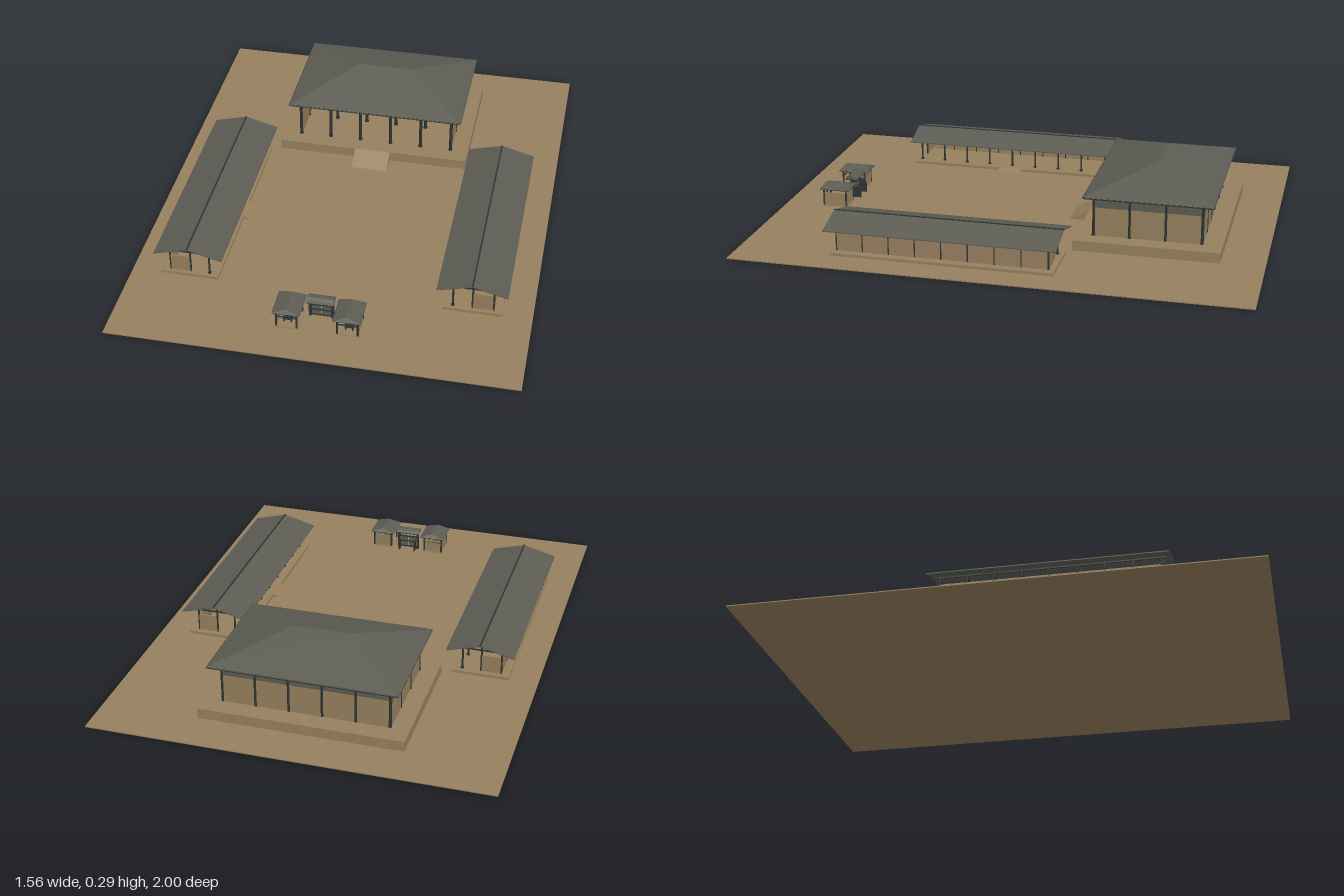
import * as THREE from 'three';

const earth = new THREE.MeshStandardMaterial({ color: 0x967f5e, name: 'earth' });
const tile = new THREE.MeshStandardMaterial({ color: 0x5c5c53, name: 'roofTile' });
const timber = new THREE.MeshStandardMaterial({ color: 0x2c3533, name: 'darkTimber' });

function add(parent, name, geometry, material) {
  const mesh = new THREE.Mesh(geometry, material);
  mesh.name = name;
  parent.add(mesh);
  return mesh;
}

// Box given by its limits on each axis
function box(parent, name, mat, x0, x1, y0, y1, z0, z1) {
  const mesh = add(parent, name, new THREE.BoxGeometry(x1 - x0, y1 - y0, z1 - z0), mat);
  mesh.position.set((x0 + x1) / 2, (y0 + y1) / 2, (z0 + z1) / 2);
  return mesh;
}

function post(parent, name, x, z, y0, y1, r) {
  const mesh = add(parent, name, new THREE.CylinderGeometry(r, r, y1 - y0, 8), timber);
  mesh.position.set(x, (y0 + y1) / 2, z);
  return mesh;
}

// Closed hip roof: eave rectangle hx by hz, ridge rectangle rx by rz
function hipRoof(parent, name, x, z, y0, y1, hx, hz, rx, rz) {
  const g = new THREE.BoxGeometry(2, y1 - y0, 2).toNonIndexed();
  const p = g.attributes.position;
  for (let i = 0; i < p.count; i++) {
    const top = p.getY(i) > 0;
    p.setX(i, p.getX(i) * (top ? rx : hx));
    p.setZ(i, p.getZ(i) * (top ? rz : hz));
  }
  g.computeVertexNormals();
  const mesh = add(parent, name, g, tile);
  mesh.position.set(x, (y0 + y1) / 2, z);
  return mesh;
}

// Prism of an outline in the (z, y) plane, running along x
function prismX(parent, name, mat, points, x0, x1) {
  const shape = new THREE.Shape(points.map(([z, y]) => new THREE.Vector2(-z, y)));
  const g = new THREE.ExtrudeGeometry(shape, { depth: x1 - x0, bevelEnabled: false });
  g.rotateY(Math.PI / 2);
  g.translate(x0, 0, 0);
  return add(parent, name, g, mat);
}

// Prism of an outline in the (x, y) plane, running along z
function prismZ(parent, name, mat, points, z0, z1) {
  const shape = new THREE.Shape(points.map(([x, y]) => new THREE.Vector2(x, y)));
  const g = new THREE.ExtrudeGeometry(shape, { depth: z1 - z0, bevelEnabled: false });
  g.translate(0, 0, z0);
  return add(parent, name, g, mat);
}

function buildMainHall() {
  const hall = new THREE.Group();
  hall.name = 'mainHall';
  box(hall, 'platform', earth, -0.4, 0.4, 0.003, 0.045, -0.83, -0.26);
  prismX(hall, 'entranceRamp', earth, [[-0.26, 0.003], [-0.18, 0.003], [-0.26, 0.045]], -0.075, 0.075);

  const floor = 0.045, sill = 0.16, eave = 0.207, t = 0.004;
  const back = -0.75, front = -0.33, hx = 0.325;
  // Walls on three sides, open toward the court, with a tile-grey band above
  for (const [name, mat, y0, y1] of [['wall', earth, floor, sill], ['upperBand', tile, sill, eave]]) {
    box(hall, 'back' + name, mat, -hx, hx, y0, y1, back - t, back + t);
    for (const s of [-1, 1]) box(hall, 'side' + name, mat, s * hx - t, s * hx + t, y0, y1, back, front);
  }
  box(hall, 'frontBeam', tile, -hx, hx, 0.188, eave, front - t, front + t);

  // Column grid: full rows at front, porch line and back
  for (let i = 0; i < 6; i++) {
    const x = -hx + i * 0.13;
    for (const z of [front, -0.47, back]) {
      post(hall, 'column', x, z, floor, eave, 0.0065);
      if (z !== back) post(hall, 'columnBase', x, z, floor, floor + 0.006, 0.009);
    }
  }
  for (const s of [-1, 1]) post(hall, 'sideColumn', s * hx, -0.61, floor, eave, 0.0065);

  // Hip roof with a thin eave board
  box(hall, 'eaveBoard', timber, -0.368, 0.368, 0.205, 0.211, -0.796, -0.292);
  hipRoof(hall, 'hipRoof', 0, -0.544, 0.21, 0.29, 0.37, 0.254, 0.115, 0.004);
  return hall;
}

// Long open hall on the left side; the right one is turned about the court
function buildSideHall(side) {
  const hall = new THREE.Group();
  hall.name = side > 0 ? 'leftSideHall' : 'rightSideHall';
  const X = (a, b) => (side > 0 ? [a, b] : [-b, -a]);
  const bx = (name, mat, a, b, ...rest) => box(hall, name, mat, ...X(a, b), ...rest);
  bx('platform', earth, 0.437, 0.665, 0.003, 0.015, -0.245, 0.63);
  prismZ(hall, 'sideRamp', earth,
    [[side * 0.412, 0.003], [side * 0.437, 0.003], [side * 0.437, 0.015]], 0.145, 0.245);

  // Outer wall and half-width end walls
  bx('outerWall', earth, 0.627, 0.633, 0.015, 0.085, -0.22, 0.61);
  for (const z of [-0.22, 0.61]) bx('endWall', earth, 0.55, 0.63, 0.015, 0.085, z - 0.003, z + 0.003);

  // Nine timber frames
  for (let i = 0; i < 9; i++) {
    const z = 0.61 - i * 0.10375;
    const end = i === 0 || i === 8;
    for (const x of [0.475, 0.63]) post(hall, 'column', side * x, z, 0.015, 0.119, 0.004);
    post(hall, 'kingPost', side * 0.55, z, end ? 0.015 : 0.104, 0.143, end ? 0.004 : 0.0025);
    bx('tieBeam', timber, 0.475, 0.63, 0.104, 0.109, z - 0.0025, z + 0.0025);
    post(hall, 'columnBase', side * 0.475, z, 0.015, 0.02, 0.007);
  }
  for (const x of [0.475, 0.63]) bx('purlin', timber, x - 0.002, x + 0.002, 0.111, 0.117, -0.24, 0.63);

  // Thin gable roof and ridge cap
  const c = side * 0.55, w = 0.135;
  prismZ(hall, 'gableRoof', tile,
    [[c - w, 0.107], [c, 0.143], [c + w, 0.107], [c + w, 0.111], [c, 0.147], [c - w, 0.111]], -0.26, 0.645);
  bx('ridgeCap', timber, 0.547, 0.553, 0.144, 0.149, -0.26, 0.645);
  return hall;
}

// Gatehouse booth beside the entrance
function buildBooth(side) {
  const booth = new THREE.Group();
  booth.name = side > 0 ? 'leftBooth' : 'rightBooth';
  const X = (a, b) => (side > 0 ? [a, b] : [-b, -a]);
  const bx = (name, mat, a, b, ...rest) => box(booth, name, mat, ...X(a, b), ...rest);
  bx('base', earth, 0.07, 0.16, 0.003, 0.007, 0.737, 0.845);
  bx('outerWall', earth, 0.153, 0.157, 0.006, 0.06, 0.745, 0.84);
  bx('backWall', earth, 0.077, 0.155, 0.006, 0.06, 0.743, 0.747);
  for (const x of [0.077, 0.155])
    for (const z of [0.745, 0.84]) post(booth, 'post', side * x, z, 0.004, 0.078, 0.004);
  for (const z of [0.745, 0.84]) {
    bx('tieBeam', timber, 0.077, 0.155, 0.05, 0.054, z - 0.002, z + 0.002);
    bx('eaveBeam', timber, 0.077, 0.155, 0.07, 0.075, z - 0.002, z + 0.002);
  }
  // Low bench inside
  bx('benchSeat', timber, 0.1, 0.135, 0.022, 0.026, 0.765, 0.82);
  for (const x of [0.102, 0.129]) bx('benchLeg', timber, x, x + 0.004, 0.006, 0.022, 0.768, 0.817);
  bx('eaveBoard', timber, 0.063, 0.166, 0.074, 0.078, 0.73, 0.853);
  hipRoof(booth, 'boothRoof', side * 0.1145, 0.7915, 0.077, 0.093, 0.054, 0.0625, 0.003, 0.052);
  return booth;
}

function buildGate() {
  const gate = new THREE.Group();
  gate.name = 'centralGate';
  for (const s of [-1, 1]) {
    box(gate, 'gatePost', timber, s * 0.043 - 0.005, s * 0.043 + 0.005, 0.003, 0.09, 0.752, 0.762);
    box(gate, 'rearBrace', timber, s * 0.035 - 0.002, s * 0.035 + 0.002, 0.003, 0.05, 0.722, 0.752);
  }
  // Rails and plank doors
  for (const y of [0.01, 0.035, 0.058, 0.074])
    box(gate, 'rail', timber, -0.043, 0.043, y, y + 0.005, 0.754, 0.76);
  for (const s of [-1, 1])
    box(gate, 'door', tile, s * 0.019 - 0.017, s * 0.019 + 0.017, 0.008, 0.06, 0.755, 0.758);
  // Rounded roof running across the opening
  prismX(gate, 'gateRoof', tile,
    [[0.784, 0.086], [0.779, 0.095], [0.767, 0.101], [0.752, 0.101], [0.74, 0.095], [0.734, 0.086]], -0.052, 0.052);
  box(gate, 'roofEdge', timber, -0.05, 0.05, 0.082, 0.087, 0.735, 0.783);
  return gate;
}

export function createModel() {
  const model = new THREE.Group();
  model.name = 'courtyardCompound';
  box(model, 'ground', earth, -0.78, 0.78, 0, 0.004, -1, 1);
  model.add(buildMainHall(), buildGate());
  for (const side of [-1, 1]) model.add(buildSideHall(side), buildBooth(side));
  return model;
}
